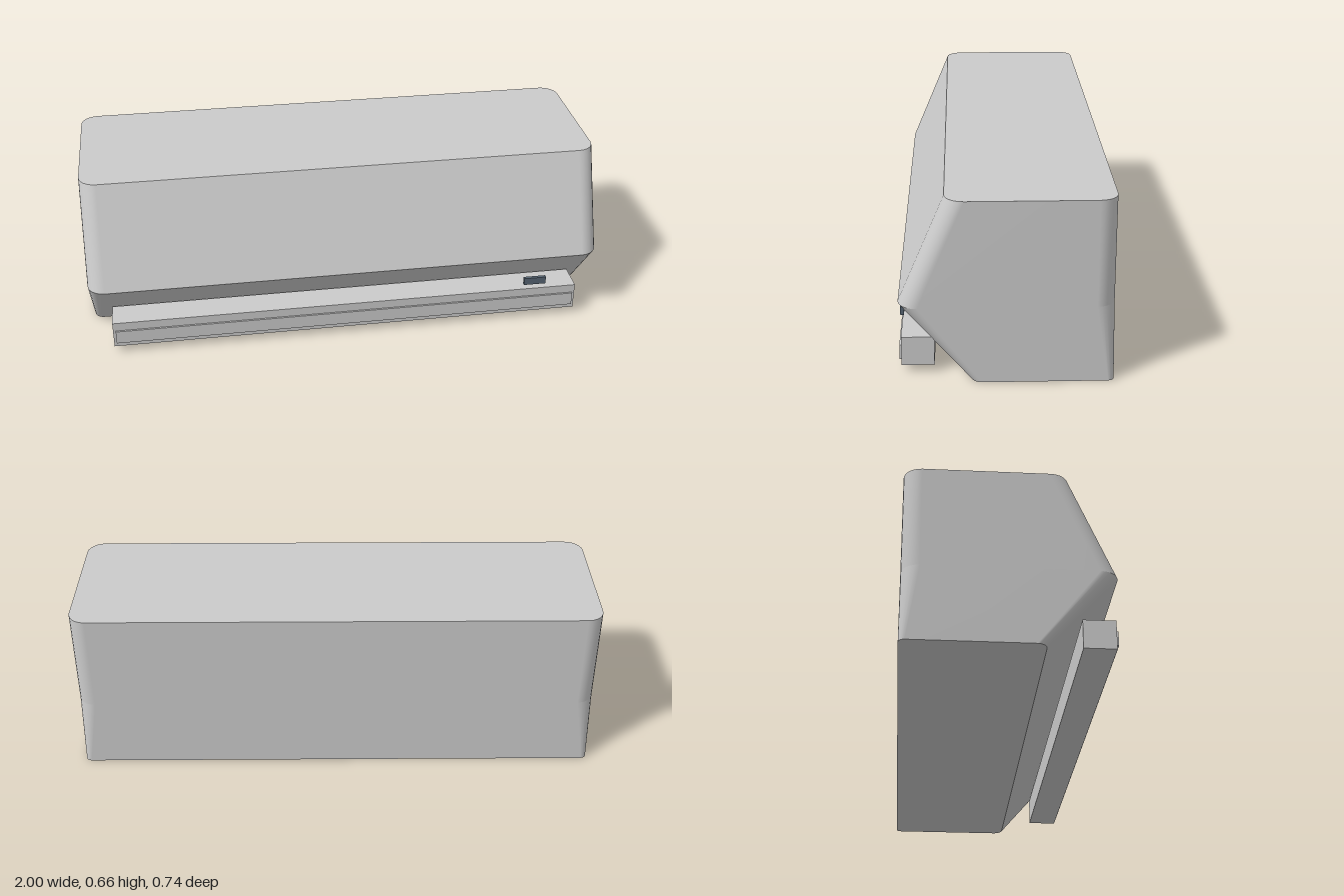
import * as THREE from 'three';
import { mergeGeometries } from 'three/addons/utils/BufferGeometryUtils.js';

const BACK = -0.37;
const SEGMENTS = 6;

// Rounded rectangle at height y, reaching from the back to z = front
function ring({ y, front, frontRadius, backRadius }) {
  const points = [];
  for (let corner = 0; corner < 4; corner++) {
    const isFront = corner < 2;
    const r = isFront ? frontRadius : backRadius;
    const cx = (corner === 0 || corner === 3 ? 1 : -1) * (1 - r);
    const cz = isFront ? front - r : BACK + r;
    for (let i = 0; i <= SEGMENTS; i++) {
      const a = (corner + i / SEGMENTS) * Math.PI / 2;
      points.push([cx + r * Math.cos(a), y, cz + r * Math.sin(a)]);
    }
  }
  return points;
}

function meshFrom(points, index) {
  const g = new THREE.BufferGeometry();
  g.setAttribute('position', new THREE.Float32BufferAttribute(points.flat(), 3));
  g.setIndex(index);
  g.computeVertexNormals();
  return g;
}

// Wall between two rings, smooth around but creased at the rings
function band(lower, upper) {
  const n = lower.length;
  const index = [];
  for (let i = 0; i < n; i++) {
    const j = (i + 1) % n;
    index.push(i, n + i, j, j, n + i, n + j);
  }
  return meshFrom([...lower, ...upper], index);
}

function cap(points, facesUp) {
  const index = [];
  for (let i = 1; i < points.length - 1; i++) {
    index.push(0, ...(facesUp ? [i + 1, i] : [i, i + 1]));
  }
  return meshFrom(points, index);
}

export function createModel() {
  const group = new THREE.Group();
  const grey = new THREE.MeshStandardMaterial({ color: 0xcccccc });
  const dark = new THREE.MeshStandardMaterial({ color: 0x566472 });

  const add = (name, geometry, material = grey) => {
    const mesh = new THREE.Mesh(geometry, material);
    mesh.name = name;
    group.add(mesh);
    return mesh;
  };
  const box = (name, [x0, x1], [y0, y1], [z0, z1], material) =>
    add(name, new THREE.BoxGeometry(x1 - x0, y1 - y0, z1 - z0), material)
      .position.set((x0 + x1) / 2, (y0 + y1) / 2, (z0 + z1) / 2);

  // Housing: narrow base, widest at the front ridge, sloping back to the top
  const rings = [
    { y: 0, front: 0.12, frontRadius: 0.035, backRadius: 0.022 },
    { y: 0.28, front: 0.37, frontRadius: 0.067, backRadius: 0.065 },
    { y: 0.663, front: 0.208, frontRadius: 0.067, backRadius: 0.065 },
  ].map(ring);
  add('housing', mergeGeometries([
    cap(rings[0], false),
    band(rings[0], rings[1]),
    band(rings[1], rings[2]),
    cap(rings[2], true),
  ]));

  // Air outlet with its raised flap
  box('airOutlet', [-0.92, 0.92], [0.028, 0.135], [0.248, 0.363]);
  box('outletFlap', [-0.91, 0.91], [0.046, 0.1], [0.355, 0.37]);

  // Small status display on the model's left
  box('display', [0.705, 0.793], [0.159, 0.189], [0.357, 0.37], dark);

  return group;
}
